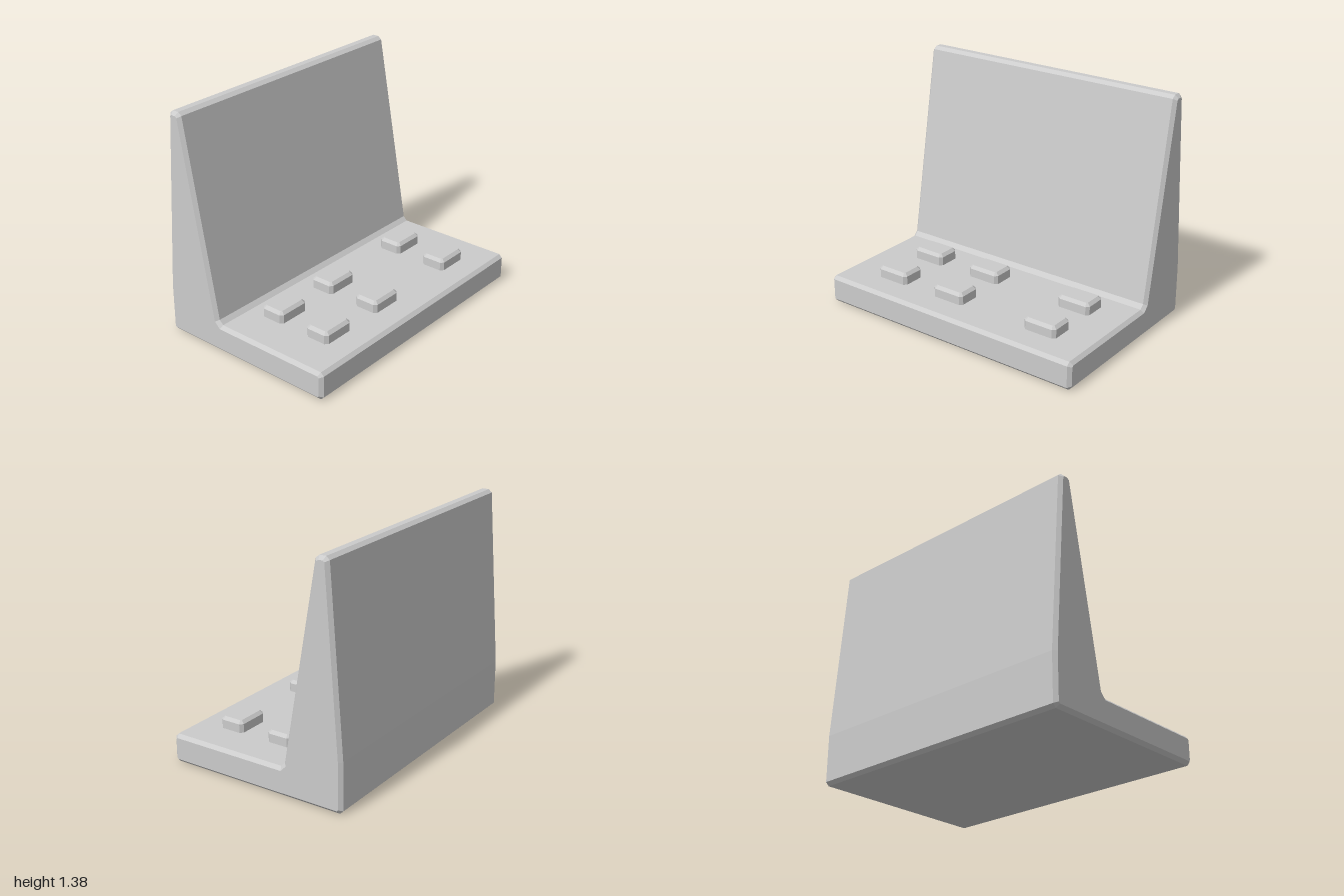
import * as THREE from 'three';

const grey = new THREE.MeshStandardMaterial({ color: 0xcccccc, flatShading: true });
const CHAMFER = 0.02;

// Extrudes an outline so that its outer size and length include the chamfered ends.
function chamferedPrism(points, length, c = CHAMFER) {
  const shape = new THREE.Shape(points.map(([x, y]) => new THREE.Vector2(x, y)));
  const geometry = new THREE.ExtrudeGeometry(shape, {
    depth: length - 2 * c, bevelEnabled: true, bevelSegments: 1,
    bevelSize: c, bevelThickness: c, bevelOffset: -c,
  });
  return geometry.translate(0, 0, c - length / 2);
}

function addPart(parent, name, geometry) {
  const mesh = new THREE.Mesh(geometry, grey);
  mesh.name = name;
  parent.add(mesh);
  return mesh;
}

export function createModel() {
  const model = new THREE.Group();
  model.name = 'studdedBracket';

  // The whole bracket stands diagonally to the axes
  const bracket = new THREE.Group();
  bracket.name = 'bracket';
  bracket.rotation.y = Math.PI / 4;
  model.add(bracket);

  // L-shaped body: base slab and tapering back wall, as (depth, height)
  const length = 1.73, half = 0.569, c = CHAMFER;
  const profile = [
    [-half + c, 0], [half - c, 0], [half, c],
    [half, 0.17 - c], [half - c, 0.17],
    [-0.172, 0.17], [-0.197, 0.195],
    [-0.407, 1.36], [-0.43, 1.378], [-0.47, 1.378], [-0.491, 1.36],
    [-half, 0.3], [-half, c],
  ];
  addPart(bracket, 'baseAndBackWall', chamferedPrism(profile, length).rotateY(-Math.PI / 2));

  // Six low chamfered blocks on the base, in two rows
  const w = 0.106, d = 0.077, k = 0.018;
  const outline = [
    [-w + k, -d], [w - k, -d], [w, -d + k], [w, d - k],
    [w - k, d], [-w + k, d], [-w, d - k], [-w, -d + k],
  ];
  const block = chamferedPrism(outline, 0.12, k).rotateX(-Math.PI / 2);
  for (const x of [-0.525, -0.101, 0.544]) {
    for (const z of [-0.002, 0.328]) {
      addPart(bracket, 'baseBlock', block).position.set(x, 0.18, z);
    }
  }
  return model;
}
